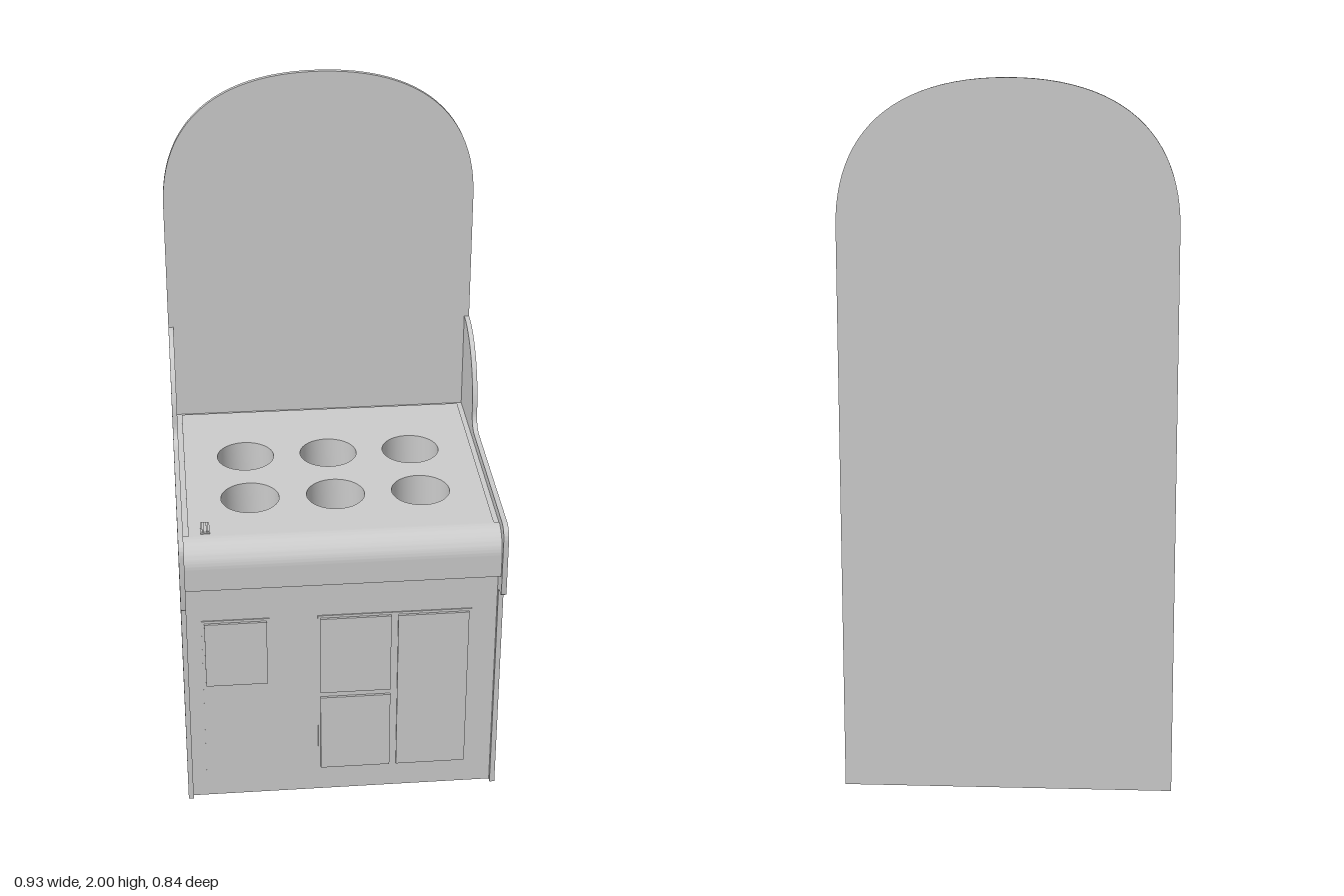
import * as THREE from 'three';
import { toCreasedNormals } from 'three/addons/utils/BufferGeometryUtils.js';

const W = 0.465;      // half width
const T = 0.015;      // panel thickness
const IN = W - T;     // half width between the side panels
const BACK = -0.405;  // front surface of the backboard
const DECK = 0.9;     // playing surface height
const WELL = 0.76;    // bottom of the wells

export function createModel() {
  const root = new THREE.Group();
  const grey = new THREE.MeshStandardMaterial({ color: 0xcccccc });

  const add = (name, geo, x = 0, y = 0, z = 0) => {
    const mesh = new THREE.Mesh(geo, grey);
    mesh.name = name;
    mesh.position.set(x, y, z);
    root.add(mesh);
    return mesh;
  };
  const extrude = (shape, depth) => toCreasedNormals(
    new THREE.ExtrudeGeometry(shape, { depth, bevelEnabled: false, curveSegments: 24 }), 0.6);
  // Profile drawn in (z, y), extruded along x and centred
  const alongX = (shape, width) => extrude(shape, width).rotateY(-Math.PI / 2).translate(width / 2, 0, 0);
  // Plan drawn in (x, -z), extruded upwards
  const upward = (shape, height) => extrude(shape, height).rotateX(-Math.PI / 2);
  // Box given by its limits
  const box = (name, x0, x1, y0, y1, z0, z1) => add(name,
    new THREE.BoxGeometry(x1 - x0, y1 - y0, z1 - z0), (x0 + x1) / 2, (y0 + y1) / 2, (z0 + z1) / 2);
  const trace = (path, x0, x1, z0, z1) => {
    path.moveTo(x0, -z1);
    path.lineTo(x1, -z1);
    path.lineTo(x1, -z0);
    path.lineTo(x0, -z0);
    path.closePath();
    return path;
  };

  // Tall backboard with a rounded top
  const board = new THREE.Shape();
  board.moveTo(-W, 0);
  board.lineTo(W, 0);
  board.lineTo(W, 1.6);
  board.bezierCurveTo(W, 1.85, 0.31, 2, 0, 2);
  board.bezierCurveTo(-0.31, 2, -W, 1.85, -W, 1.6);
  board.closePath();
  add('backboard', extrude(board, T), 0, 0, BACK - T);

  // Side panels: nose at the front, scooped wing at the back
  const side = new THREE.Shape();
  side.moveTo(BACK, 0);
  side.lineTo(0.375, 0);
  side.lineTo(0.375, 0.69);
  side.quadraticCurveTo(0.375, 0.702, 0.387, 0.702);
  side.lineTo(0.408, 0.702);
  side.quadraticCurveTo(0.42, 0.702, 0.42, 0.715);
  side.lineTo(0.42, 0.88);
  side.quadraticCurveTo(0.42, 0.925, 0.375, 0.925);
  side.lineTo(-0.135, 0.925);
  side.quadraticCurveTo(-0.19, 0.925, -0.19, 0.985);
  side.absarc(BACK, 0.985, 0.215, 0, Math.PI / 2, false);
  side.closePath();
  const sideGeo = alongX(side, T);
  add('leftSidePanel', sideGeo, W - T / 2);
  add('rightSidePanel', sideGeo, -W + T / 2);

  // Cabinet body
  box('body', -IN, IN, 0, WELL, BACK, 0.36);

  // Rounded front lip
  const lip = new THREE.Shape();
  lip.moveTo(0.335, WELL);
  lip.lineTo(0.405, WELL);
  lip.lineTo(0.405, 0.83);
  lip.absarc(0.335, 0.83, 0.07, 0, Math.PI / 2, false);
  lip.closePath();
  add('frontLip', alongX(lip, IN * 2));

  // Deck rim and the deck plate with six wells
  const rim = trace(new THREE.Shape(), -IN, IN, BACK, 0.335);
  rim.holes.push(trace(new THREE.Path(), -0.435, 0.435, -0.395, 0.335));
  add('deckRim', upward(rim, DECK - WELL - 0.003), 0, WELL);

  const deck = trace(new THREE.Shape(), -0.435, 0.435, -0.395, 0.335);
  for (const x of [-0.25, 0, 0.25]) {
    for (const z of [-0.113, 0.135]) {
      const hole = new THREE.Path();
      hole.absarc(x, -z, 0.085, 0, Math.PI * 2, true);
      deck.holes.push(hole);
    }
  }
  add('deckPlate', upward(deck, DECK - WELL), 0, WELL);

  // Small slot fitting on the deck
  box('slotBase', -0.4, -0.374, DECK, DECK + 0.004, 0.27, 0.327);
  for (const x of [-0.396, -0.384]) box('slotRail', x, x + 0.006, DECK, DECK + 0.008, 0.274, 0.323);

  // Front door frames and doors
  for (const [x0, x1] of [[-0.408, -0.212], [-0.072, 0.377]]) {
    box('doorFrame', x0, x1, 0.078, 0.628, 0.355, 0.363);
  }
  const doors = [
    [-0.4, -0.22, 0.405, 0.62],
    [-0.065, 0.142, 0.36, 0.62],
    [-0.065, 0.142, 0.085, 0.342],
    [0.162, 0.369, 0.085, 0.62],
  ];
  for (const [x0, x1, y0, y1] of doors) box('door', x0, x1, y0, y1, 0.36, 0.37);

  return root;
}
